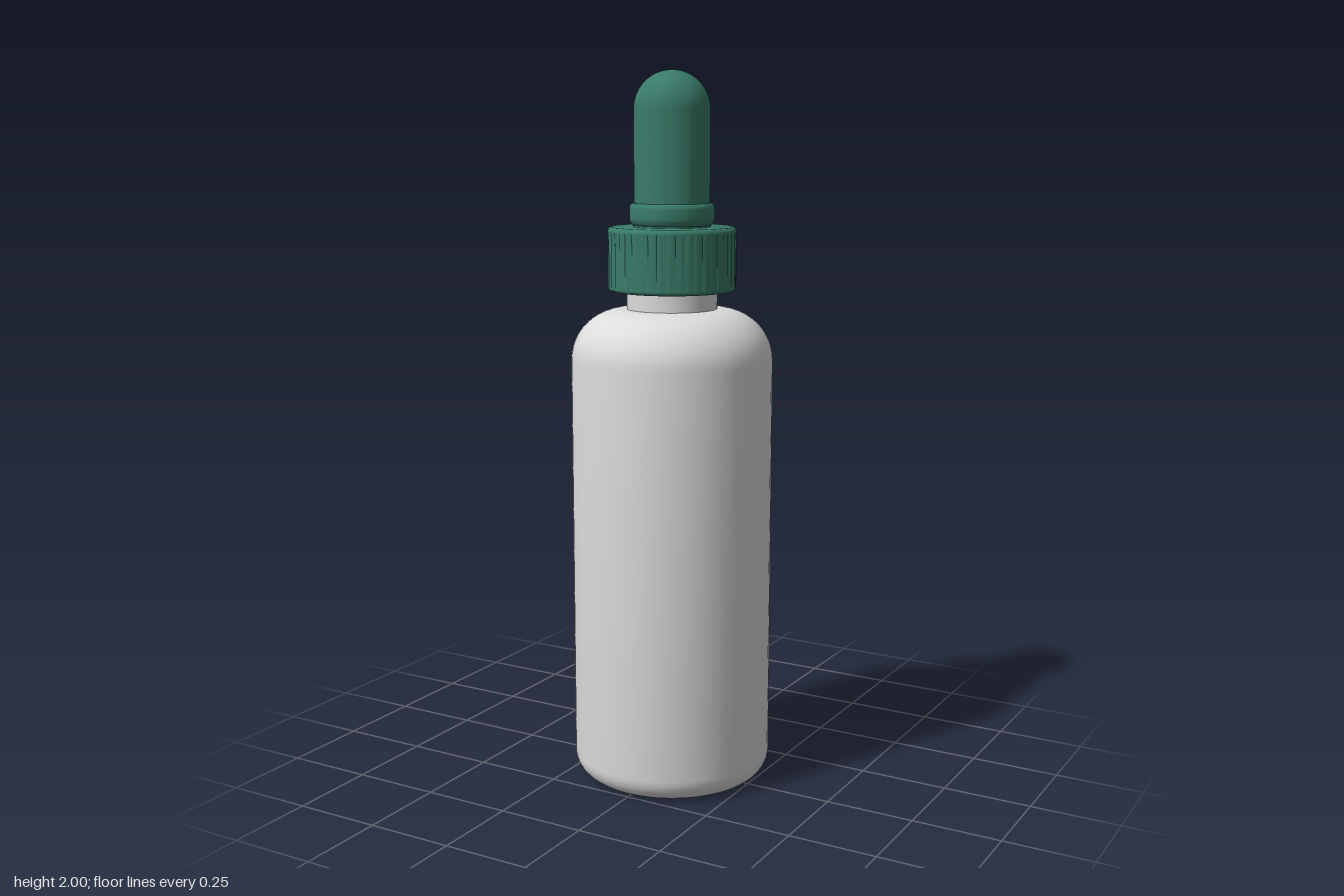
import * as THREE from 'three';
import { toCreasedNormals } from 'three/addons/utils/BufferGeometryUtils.js';

const V = (x, y) => new THREE.Vector2(x, y);

// Quarter-ellipse points around (cx, cy), from angle a to b in degrees
function arc(cx, cy, rx, ry, a, b, n = 8) {
  return Array.from({ length: n + 1 }, (_, i) => {
    const t = THREE.MathUtils.degToRad(a + (b - a) * i / n);
    return V(Math.max(0, cx + rx * Math.cos(t)), cy + ry * Math.sin(t));
  });
}

// Turned part from a bottom-to-top profile, with hard corners kept sharp
function turned(name, points, material, segments = 64) {
  const geometry = toCreasedNormals(new THREE.LatheGeometry(points, segments), 0.6);
  const mesh = new THREE.Mesh(geometry, material);
  mesh.name = name;
  return mesh;
}

export function createModel() {
  const white = new THREE.MeshStandardMaterial({ color: 0xdcdcdc });
  white.name = 'bottleWhite';
  const green = new THREE.MeshStandardMaterial({ color: 0x3a7b69 });
  green.name = 'capGreen';

  const model = new THREE.Group();
  model.name = 'dropperBottle';

  // Bottle: rounded base, straight wall, round shoulder
  model.add(turned('bottleBody', [
    V(0, 0),
    ...arc(0.215, 0.07, 0.066, 0.07, -90, 0),
    ...arc(0.135, 1.21, 0.146, 0.142, 0, 90, 12),
    V(0, 1.352),
  ], white));

  // Neck under the cap
  model.add(turned('neck', [V(0.126, 1.34), V(0.126, 1.42)], white));

  // Screw cap with softened rims and shallow grip grooves
  const ribs = 44, segments = ribs * 4;
  const capGeometry = new THREE.LatheGeometry([
    V(0, 1.402),
    ...arc(0.168, 1.412, 0.01, 0.01, -90, 0, 4),
    V(0.178, 1.42), V(0.178, 1.56),
    ...arc(0.166, 1.566, 0.012, 0.012, 0, 90, 4),
    V(0, 1.578),
  ], segments);
  const p = capGeometry.attributes.position;
  for (let i = 0; i < p.count; i++) {
    const y = p.getY(i), r = Math.hypot(p.getX(i), p.getZ(i));
    const column = Math.round(Math.atan2(p.getX(i), p.getZ(i)) / (2 * Math.PI) * segments) + segments;
    if (r > 0.17 && y > 1.415 && y < 1.562 && column % 4 === 0) {
      const s = (r - 0.003) / r;
      p.setX(i, p.getX(i) * s);
      p.setZ(i, p.getZ(i) * s);
    }
  }
  const cap = new THREE.Mesh(toCreasedNormals(capGeometry, 0.6), green);
  cap.name = 'screwCap';
  model.add(cap);

  // Bead at the foot of the bulb
  model.add(turned('bulbCollar', [
    V(0.108, 1.57),
    ...arc(0.098, 1.6, 0.02, 0.02, -60, 0, 4),
    ...arc(0.106, 1.628, 0.012, 0.014, 0, 90, 4),
    V(0.09, 1.642),
  ], green));

  // Squeeze bulb with domed top
  model.add(turned('squeezeBulb', [
    V(0.105, 1.63),
    ...arc(0, 1.895, 0.105, 0.105, 0, 90, 16),
  ], green));

  return model;
}
